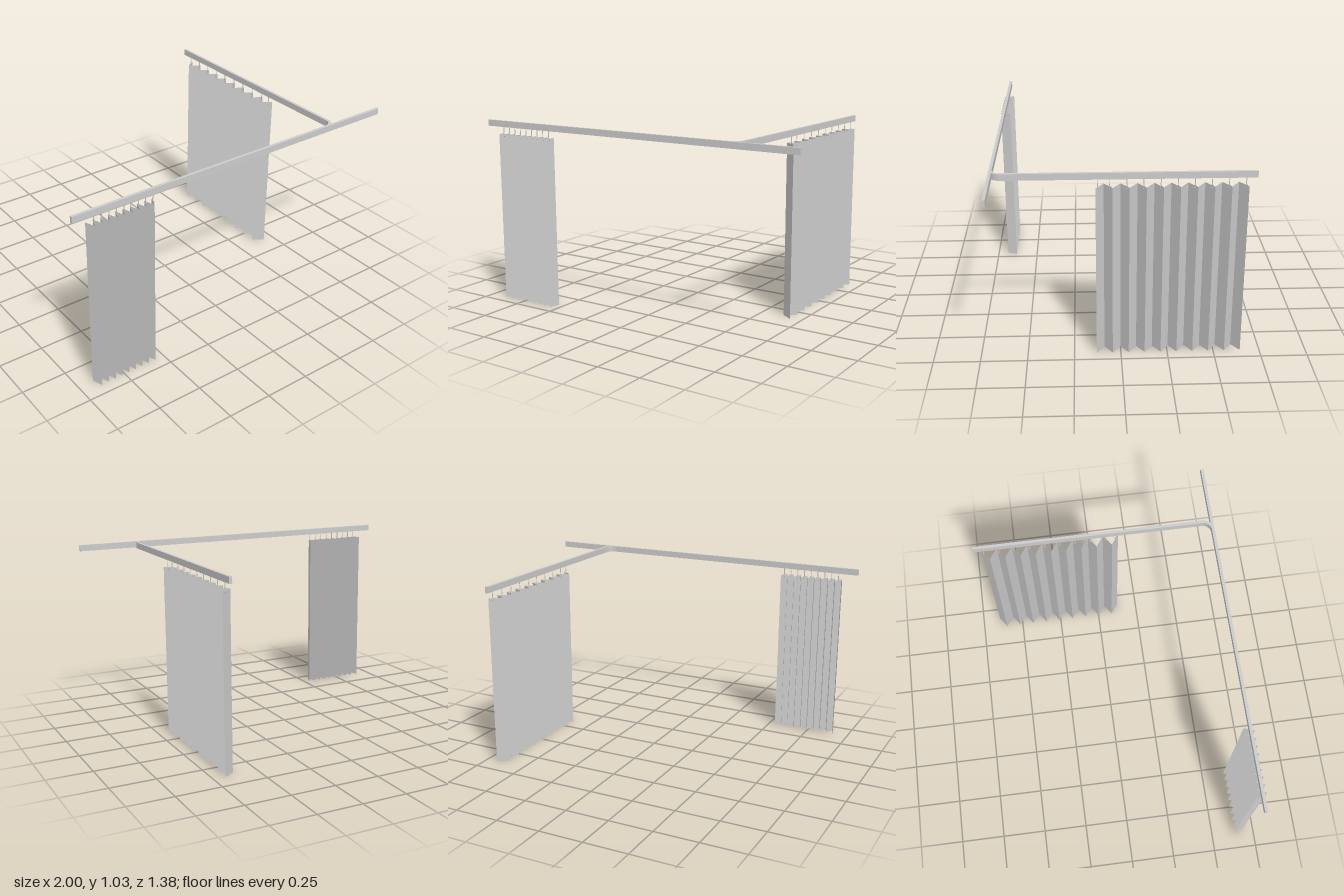
import * as THREE from 'three';

const RAIL_BOTTOM = 1.0, RAIL_TOP = 1.035, CLOTH_TOP = 0.96;
const RAIL_HALF = 0.008, RAIL_X = 0.662, RAIL_Z = 0.656;
const FOLDS = 18;

const metal = new THREE.MeshStandardMaterial({ color: 0xcccccc });
const cloth = new THREE.MeshStandardMaterial({ color: 0xcccccc, side: THREE.DoubleSide, flatShading: true });

function addMesh(parent, name, geometry, material) {
  const mesh = new THREE.Mesh(geometry, material);
  mesh.name = name;
  parent.add(mesh);
  return mesh;
}

// Pleated sheet: plan points [x, z] drawn up from the floor to the cloth top
function pleatedSheet(points) {
  const pos = [], index = [];
  points.forEach(([x, z], i) => {
    pos.push(x, 0, z, x, CLOTH_TOP, z);
    if (i > 0) {
      const a = 2 * (i - 1);
      index.push(a, a + 2, a + 3, a, a + 3, a + 1);
    }
  });
  const g = new THREE.BufferGeometry();
  g.setAttribute('position', new THREE.Float32BufferAttribute(pos, 3));
  g.setIndex(index);
  const flat = g.toNonIndexed();
  flat.computeVertexNormals();
  return flat;
}

// Wire hook: straight shank from the rail, curling under at the cloth
function hookGeometry() {
  const curve = new THREE.CatmullRomCurve3([
    [0, RAIL_BOTTOM + 0.004, 0], [0, 0.982, 0], [0, 0.964, 0],
    [0.005, 0.959, 0], [0.006, 0.952, 0], [0.001, 0.946, 0], [-0.005, 0.949, 0],
  ].map((p) => new THREE.Vector3(...p)));
  return new THREE.TubeGeometry(curve, 20, 0.0025, 6, false);
}

function addHooks(parent, spots, turn) {
  const geometry = hookGeometry();
  for (const [x, z] of spots) {
    const hook = addMesh(parent, 'hook', geometry, metal);
    hook.position.set(x, 0, z);
    hook.rotation.y = turn;
  }
}

// Side rail: straight run that bends into the front rail, outlined in plan
function sideRailGeometry() {
  const r = 0.055, w = RAIL_HALF;
  const cx = RAIL_X - r, cz = RAIL_Z - r;
  const s = new THREE.Shape();
  s.moveTo(RAIL_X - w, -0.69);
  s.lineTo(RAIL_X + w, -0.69);
  s.lineTo(RAIL_X + w, cz);
  s.absarc(cx, cz, r + w, 0, Math.PI / 2, false);
  s.lineTo(cx, cz + r - w);
  s.absarc(cx, cz, r - w, Math.PI / 2, 0, true);
  s.closePath();
  const g = new THREE.ExtrudeGeometry(s, { depth: RAIL_TOP - RAIL_BOTTOM, bevelEnabled: false, curveSegments: 10 });
  g.rotateX(Math.PI / 2);
  g.translate(0, RAIL_TOP, 0);
  return g;
}

export function createModel() {
  const model = new THREE.Group();
  model.name = 'curtainTrack';

  // Rails
  const front = addMesh(model, 'frontRail',
    new THREE.BoxGeometry(2, RAIL_TOP - RAIL_BOTTOM, RAIL_HALF * 2), metal);
  front.position.set(0, (RAIL_TOP + RAIL_BOTTOM) / 2, RAIL_Z);
  addMesh(model, 'sideRail', sideRailGeometry(), metal);

  // Curtain gathered under the right end of the front rail
  const right = new THREE.Group();
  right.name = 'rightCurtain';
  model.add(right);
  const x0 = -0.912, dx = 0.377 / FOLDS;
  const rightPlan = [], rightHooks = [];
  for (let i = 0; i <= FOLDS; i++) {
    rightPlan.push([x0 + i * dx, i % 2 ? 0.69 : 0.632]);
    if (i % 2) rightHooks.push([x0 + (i + 0.45) * dx, 0.661]);
  }
  addMesh(right, 'rightCloth', pleatedSheet(rightPlan), cloth);
  addHooks(right, rightHooks, 0);

  // Curtain hung along the side rail
  const side = new THREE.Group();
  side.name = 'sideCurtain';
  model.add(side);
  const z0 = 0.13, dz = 0.775 / FOLDS;
  const sidePlan = [], sideHooks = [[0.666, z0 - 0.3 * dz]];
  for (let i = 0; i <= FOLDS; i++) {
    sidePlan.push([i % 2 ? 0.624 : 0.686, z0 - i * dz]);
    if (i % 2) sideHooks.push([0.666, z0 - (i + 0.7) * dz]);
  }
  addMesh(side, 'sideCloth', pleatedSheet(sidePlan), cloth);
  addHooks(side, sideHooks, Math.PI / 2);

  return model;
}
